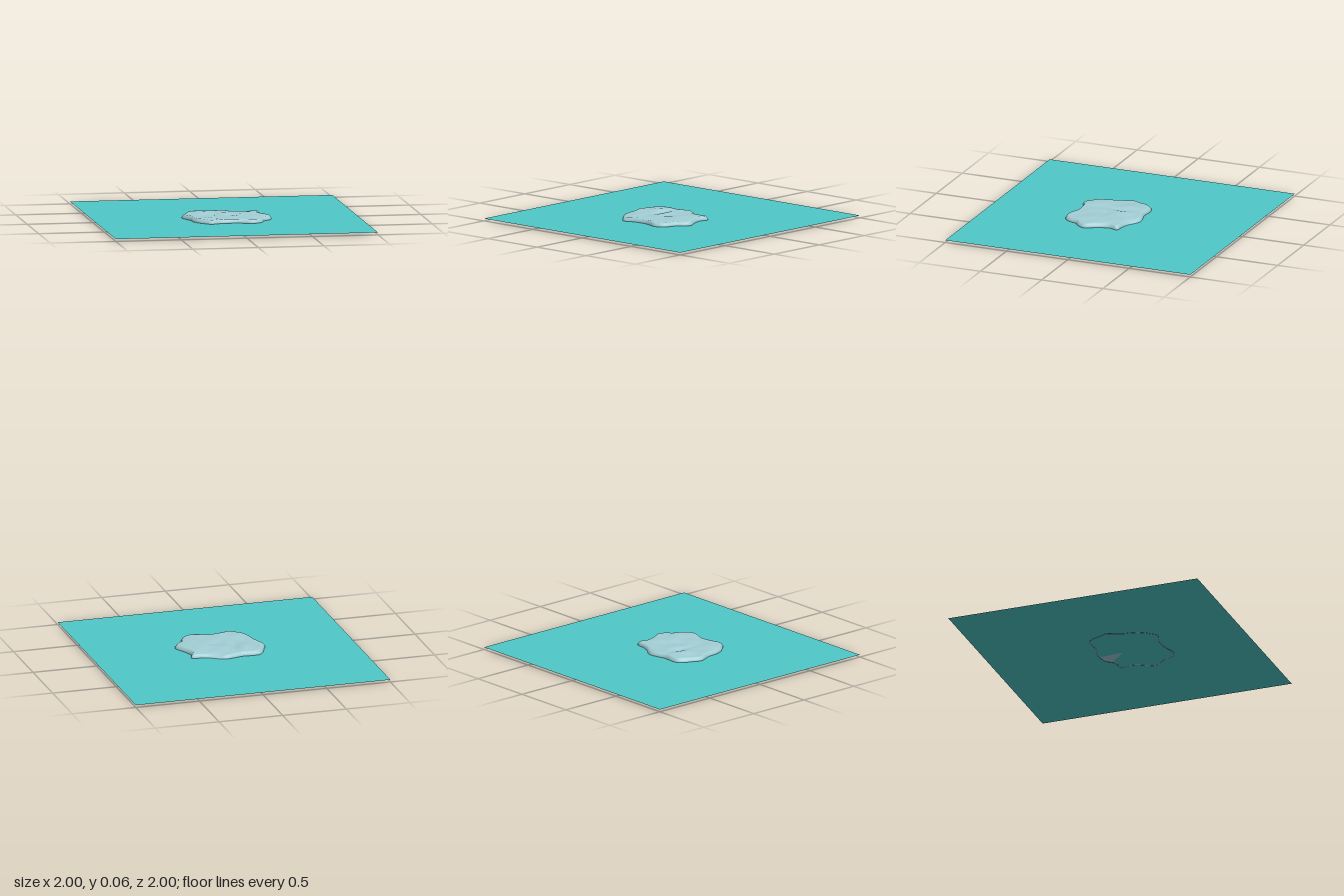
import * as THREE from 'three';

const WATER_Y = 0.02;

// Shoreline of the floe as x, z pairs, clockwise from the back
const OUTLINE = [
  [0.04, -0.185], [0.1, -0.16], [0.15, -0.125], [0.21, -0.108], [0.282, -0.095], [0.266, -0.03],
  [0.278, 0.03], [0.305, 0.09], [0.335, 0.155], [0.31, 0.21], [0.265, 0.25], [0.243, 0.31],
  [0.215, 0.35], [0.155, 0.37], [0.09, 0.35], [0.03, 0.335], [-0.05, 0.335], [-0.1, 0.345],
  [-0.16, 0.365], [-0.21, 0.32], [-0.25, 0.27], [-0.275, 0.2], [-0.282, 0.13], [-0.3, 0.08],
  [-0.325, 0.01], [-0.3, -0.05], [-0.275, -0.11], [-0.24, -0.155], [-0.18, -0.165],
  [-0.1, -0.158], [-0.03, -0.175],
];

const bump = (x, z, cx, cz, rx, rz) => Math.exp(-(((x - cx) / rx) ** 2) - ((z - cz) / rz) ** 2);

// Uneven upper surface: mounds, a furrow and small ripples
function topHeight(x, z) {
  return 0.05
    + 0.009 * bump(x, z, -0.15, -0.05, 0.07, 0.1)
    + 0.007 * bump(x, z, 0.17, 0.1, 0.1, 0.13)
    + 0.005 * bump(x, z, -0.02, 0.0, 0.04, 0.08)
    + 0.004 * bump(x, z, -0.14, 0.25, 0.1, 0.08)
    - 0.009 * bump(x, z, -0.085, 0.03, 0.03, 0.14)
    - 0.004 * bump(x, z, 0.06, 0.1, 0.06, 0.03)
    + 0.0018 * Math.sin(x * 34 + 1) * Math.cos(z * 29);
}

// Closed shell made of scaled shoreline rings
function floeGeometry() {
  const segments = 124;
  const centre = new THREE.Vector3(0, 0, 0.09);
  const curve = new THREE.CatmullRomCurve3(OUTLINE.map(([x, z]) => new THREE.Vector3(x, 0, z)), true);
  const shore = curve.getPoints(segments).slice(0, segments);

  // Each ring: scale and height; a null height follows the upper surface
  const rings = [];
  for (let i = 0; i <= 18; i++) rings.push([0.001 + (i / 18) * 0.939, null]);
  rings.push([0.965, 0.044], [0.985, 0.036], [1, 0.026], [0.995, 0.018], [0.975, 0.019], [0.95, 0.025], [0.001, 0.025]);

  const positions = [];
  const index = [];
  rings.forEach(([scale, height], r) => {
    shore.forEach((p, i) => {
      const x = centre.x + (p.x - centre.x) * scale;
      const z = centre.z + (p.z - centre.z) * scale;
      // The back rim sags into the water
      const sag = 0.018 * bump(x, z, 0.12, -0.17, 0.06, 0.06);
      positions.push(x, Math.max(0, (height ?? topHeight(x, z)) - sag), z);
      if (r === rings.length - 1) return;
      const j = (i + 1) % segments;
      const a = r * segments + i, b = r * segments + j;
      const d = a + segments, e = b + segments;
      index.push(a, e, d, a, b, e);
    });
  });
  const geometry = new THREE.BufferGeometry();
  geometry.setAttribute('position', new THREE.Float32BufferAttribute(positions, 3));
  geometry.setIndex(index);
  geometry.computeVertexNormals();
  return geometry;
}

export function createModel() {
  const waterMaterial = new THREE.MeshStandardMaterial({ color: 0x4fc8c8, side: THREE.DoubleSide });
  waterMaterial.name = 'turquoise water';
  const iceMaterial = new THREE.MeshStandardMaterial({ color: 0xa3cfd6 });
  iceMaterial.name = 'pale ice';

  const group = new THREE.Group();
  group.name = 'iceFloeOnWater';

  // Flat sheet of water
  const water = new THREE.Mesh(new THREE.PlaneGeometry(2, 2).rotateX(-Math.PI / 2), waterMaterial);
  water.name = 'waterSurface';
  water.position.y = WATER_Y;

  // Floating slab
  const floe = new THREE.Mesh(floeGeometry(), iceMaterial);
  floe.name = 'iceFloe';

  group.add(water, floe);
  return group;
}
